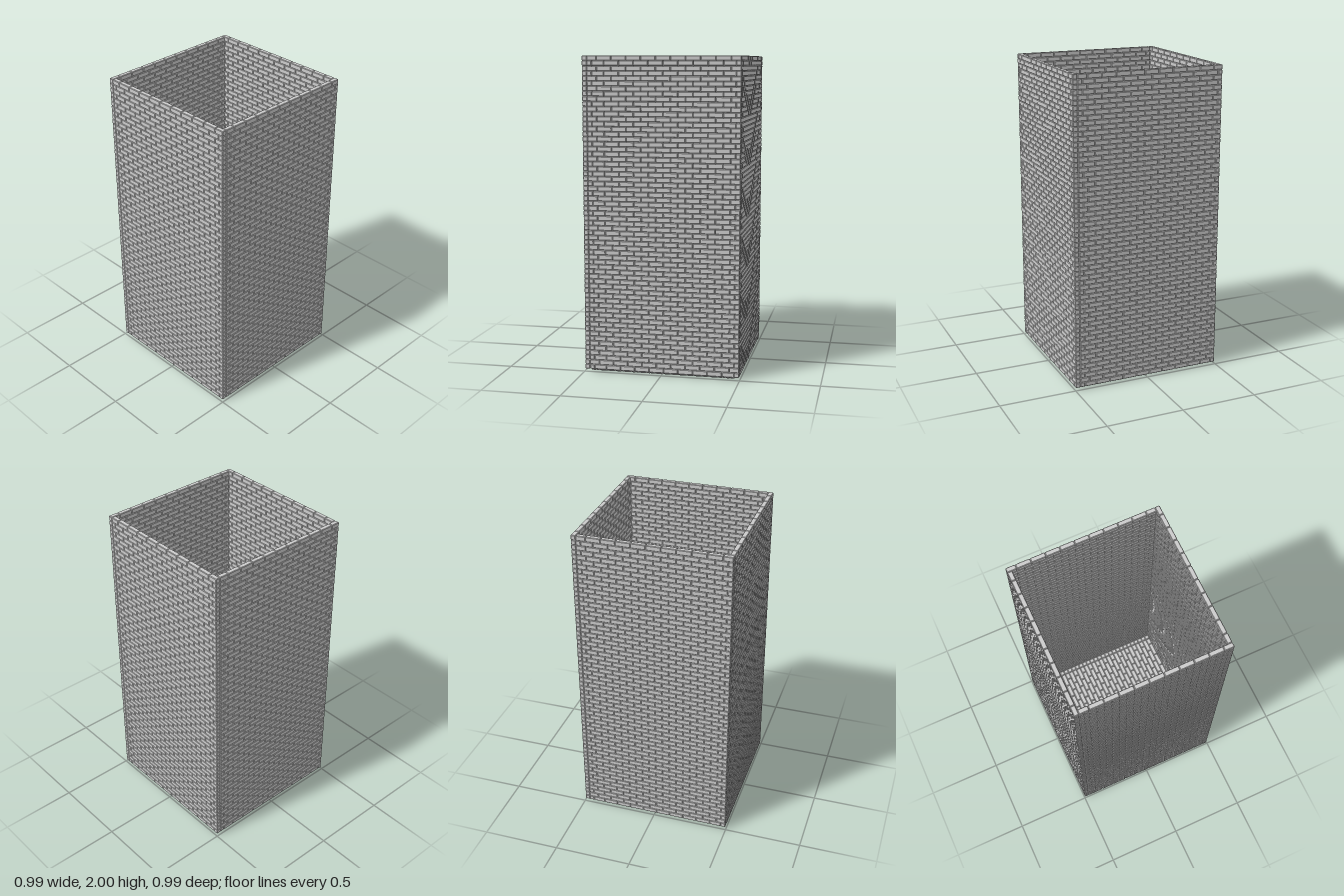
import * as THREE from 'three';
import { mergeGeometries } from 'three/addons/utils/BufferGeometryUtils.js';
import { ConvexGeometry } from 'three/addons/geometries/ConvexGeometry.js';

const U = 0.031;        // one brick module: course height and wall thickness
const BEVEL = 0.0035;   // chamfer on every brick edge
const JOINT = 0.001;    // gap between neighbouring bricks in a course
const COURSES = 64;
const BASE = 2 - COURSES * U; // the walls start slightly above the floor's underside

// Chamfered brick, centred on the origin: three points near each corner
function chamferedBrick(w, h, d) {
  const half = [w / 2, h / 2, d / 2];
  const points = [];
  for (const sx of [-1, 1]) for (const sy of [-1, 1]) for (const sz of [-1, 1]) {
    for (let face = 0; face < 3; face++) {
      const p = half.map((v, axis) => (axis === face ? v : v - BEVEL));
      points.push(new THREE.Vector3(p[0] * sx, p[1] * sy, p[2] * sz));
    }
  }
  return new ConvexGeometry(points);
}

const cache = new Map();
function brickOfLength(units) {
  if (!cache.has(units)) cache.set(units, chamferedBrick(units * U - JOINT, U, U));
  return cache.get(units);
}

// Bricks of one course, laid along x from startX
function course(lengths, startX, y, z) {
  let x = startX;
  return lengths.map((n) => {
    const brick = brickOfLength(n).clone().translate(x + (n * U) / 2, y, z);
    x += n * U;
    return brick;
  });
}

const run = (n) => Array(n).fill(3);

export function createModel() {
  const model = new THREE.Group();
  model.name = 'brickShaft';
  const material = new THREE.MeshStandardMaterial({ color: 0xcccccc, flatShading: true });

  // One wall in running bond: it covers one corner and butts into the next wall
  const wallBonds = [[1, 2.5, ...run(8), 2.5, 1], [2, ...run(9), 2]];
  const wallBricks = [];
  for (let i = 0; i < COURSES; i++) {
    wallBricks.push(...course(wallBonds[i % 2], -16 * U, BASE + (i + 0.5) * U, -15.5 * U));
  }
  const wallGeometry = mergeGeometries(wallBricks);

  // Four walls arranged as a pinwheel
  ['backWall', 'leftWall', 'frontWall', 'rightWall'].forEach((name, i) => {
    const wall = new THREE.Mesh(wallGeometry, material);
    wall.name = name;
    wall.rotation.y = (-i * Math.PI) / 2;
    model.add(wall);
  });

  // Brick floor inside the walls
  const floorBonds = [[2, ...run(9), 1], [1, 2.5, ...run(8), 1.5, 1]];
  const floorBricks = [];
  for (let i = 0; i < 30; i++) {
    floorBricks.push(...course(floorBonds[i % 2], -15 * U, U / 2, (i - 14.5) * U));
  }
  const floor = new THREE.Mesh(mergeGeometries(floorBricks), material);
  floor.name = 'floor';
  model.add(floor);

  return model;
}
